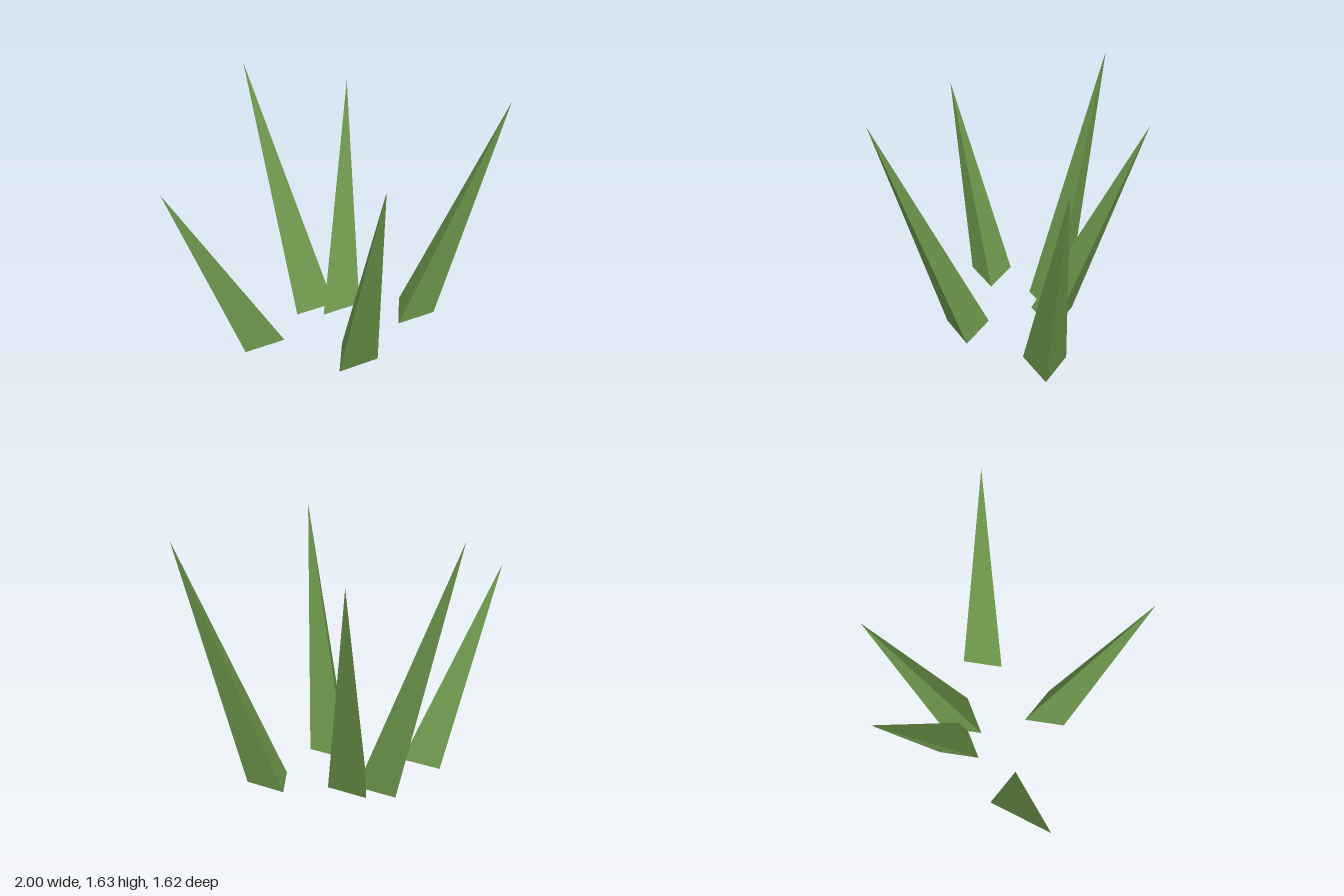
import * as THREE from 'three';

// Base circumradius shared by every three-sided blade
const RADIUS = 0.158;

// Base centre (x, z) and tip (x, y, z) of each blade
const BLADES = [
  { name: 'leftBlade', base: [0.457, -0.203], tip: [1.0, 1.56, -0.28] },
  { name: 'frontBlade', base: [0.09, 0.293], tip: [0.275, 1.575, 0.81] },
  { name: 'rightBlade', base: [-0.527, 0.145], tip: [-1.0, 1.265, 0.418] },
  { name: 'backRightBlade', base: [-0.231, -0.258], tip: [-0.655, 1.63, -0.595] },
  { name: 'backBlade', base: [-0.052, -0.267], tip: [-0.015, 1.428, -0.81] },
];

// Open three-sided spike, sheared so its tip leans away from its base
function bladeGeometry([bx, bz], [tx, ty, tz]) {
  const cone = new THREE.ConeGeometry(RADIUS, ty, 3, 1, true, Math.PI / 2);
  cone.translate(0, ty / 2, 0);
  const lean = new THREE.Matrix4().makeShear(0, 0, (tx - bx) / ty, (tz - bz) / ty, 0, 0);
  cone.applyMatrix4(lean);
  cone.translate(bx, 0, bz);
  const flat = cone.toNonIndexed();
  flat.computeVertexNormals();
  return flat;
}

export function createModel() {
  const group = new THREE.Group();
  group.name = 'grassTuft';
  const grassGreen = new THREE.MeshStandardMaterial({
    name: 'grassGreen', color: 0x6d964b, flatShading: true, side: THREE.DoubleSide,
  });
  for (const { name, base, tip } of BLADES) {
    const blade = new THREE.Mesh(bladeGeometry(base, tip), grassGreen);
    blade.name = name;
    group.add(blade);
  }
  return group;
}
